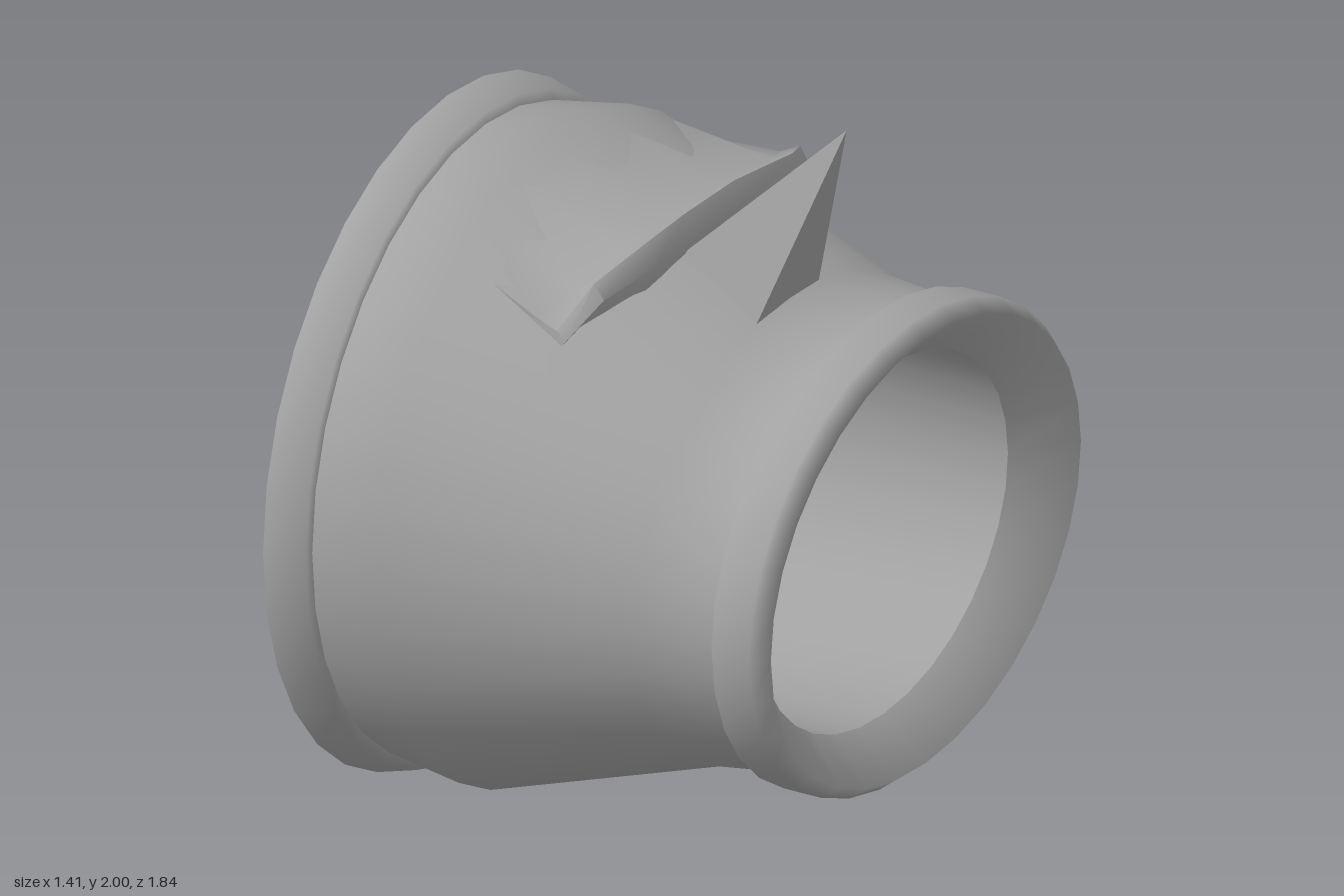
import * as THREE from 'three';
import { toCreasedNormals } from 'three/addons/utils/BufferGeometryUtils.js';

const material = new THREE.MeshStandardMaterial({ color: 0xa2a2a2 });
const SEGMENTS = 32;

// Skin a list of cross-sections (each a list of [x, y, z]) that wrap around.
function skin(sections, capped = false) {
  const n = sections[0].length;
  const index = [];
  for (let i = 0; i < sections.length - 1; i++) {
    for (let j = 0; j < n; j++) {
      const a = i * n + j, b = i * n + (j + 1) % n;
      index.push(a, b, a + n, b, b + n, a + n);
    }
  }
  if (capped) {
    const last = (sections.length - 1) * n;
    for (let j = 1; j < n - 1; j++) {
      index.push(0, j + 1, j, last, last + j, last + j + 1);
    }
  }
  const geometry = new THREE.BufferGeometry();
  geometry.setAttribute('position', new THREE.Float32BufferAttribute(sections.flat(2), 3));
  geometry.setIndex(index);
  geometry.computeVertexNormals();
  return geometry;
}

// Elliptical ring across the x axis: [x, bottom, top, back, front].
function ring([x, y0, y1, z0, z1]) {
  return Array.from({ length: SEGMENTS }, (_, j) => {
    const a = (j / SEGMENTS) * Math.PI * 2;
    return [
      x,
      (y0 + y1) / 2 + ((y1 - y0) / 2) * Math.cos(a),
      (z0 + z1) / 2 + ((z1 - z0) / 2) * Math.sin(a),
    ];
  });
}

const wide = [-0.35, 0.03, 1.83, -0.905, 0.905];
const narrow = [0.3, 0.235, 1.48, -0.87, 0.735];

// Height of the sleeve's upper surface between its wide and narrow rings.
function sleeveTop(x, z) {
  const t = (x - wide[0]) / (narrow[0] - wide[0]);
  const [, y0, y1, z0, z1] = wide.map((v, i) => THREE.MathUtils.lerp(v, narrow[i], t));
  const s = (z - (z0 + z1) / 2) / ((z1 - z0) / 2);
  return (y0 + y1) / 2 + ((y1 - y0) / 2) * Math.sqrt(1 - s * s);
}

export function createModel() {
  const group = new THREE.Group();
  const add = (name, geometry) => {
    const mesh = new THREE.Mesh(geometry, material);
    mesh.name = name;
    group.add(mesh);
  };
  const loft = (name, rings) => add(name, skin(rings.map(ring)));

  // Both openings are set back from the rims, so the end faces are dished
  const wideHole = [-0.59, 0.35, 1.49, -0.57, 0.57];
  const wideEdge = [-0.71, 0.07, 1.78, -0.86, 0.86];
  const narrowHole = [0.58, 0.375, 1.35, -0.68, 0.56];

  // Shell, from the wide end to the narrow end and back through the inside
  loft('wideEndFace', [wideHole, wideEdge]);
  loft('wideRim', [
    wideEdge,
    [-0.685, 0, 1.845, -0.92, 0.92],
    [-0.575, 0.03, 1.82, -0.89, 0.89],
    [-0.57, 0.07, 1.78, -0.86, 0.86],
  ]);
  loft('sleeveAndNarrowRim', [
    [-0.575, 0.06, 1.79, -0.865, 0.865],
    wide,
    narrow,
    [0.52, 0.265, 1.465, -0.83, 0.7],
    [0.55, 0.23, 1.5, -0.87, 0.745],
    [0.66, 0.23, 1.5, -0.87, 0.745],
    [0.705, 0.265, 1.465, -0.835, 0.71],
    narrowHole,
  ]);
  loft('innerWall', [narrowHole, wideHole]);

  // Raised panel overhanging the top, fading into the sleeve at both sides.
  // Each section: [z, lip x, top y, lip thickness]
  const columns = [
    [-0.74, -0.03, 1.34, 0.02], [-0.63, 0.02, 1.61, 0.05], [-0.5, 0.075, 1.655, 0.06],
    [-0.2, 0.08, 1.7, 0.06], [0.05, 0.08, 1.705, 0.06], [0.24, 0.075, 1.695, 0.06],
    [0.39, 0.015, 1.63, 0.04], [0.5, -0.03, 1.53, 0.02],
  ];
  const panel = columns.map(([z, x, y, lip]) => [
    [-0.35, sleeveTop(-0.35, z) - 0.07, z],
    [x - 0.04, sleeveTop(x - 0.04, z) - 0.06, z],
    [x, y - lip, z],
    [x - 0.03, y, z],
    [x - 0.09, Math.max(y - 0.03, sleeveTop(x - 0.09, z) + 0.01), z],
    [-0.35, sleeveTop(-0.35, z) - 0.012, z],
  ]);
  add('raisedPanel', toCreasedNormals(skin(panel, true), 1));

  // Four-sided spike leaning towards the narrow end, rooted through the wall
  const tip = [0.47, 2, -0.06];
  const base = [
    [0.257, 1.36, 0.128], [0.257, 1.36, -0.248],
    [-0.18, 1.375, -0.248], [-0.18, 1.375, 0.128],
  ];
  add('spike', toCreasedNormals(skin([base, base.map(() => tip)], true), 0.3));

  return group;
}
